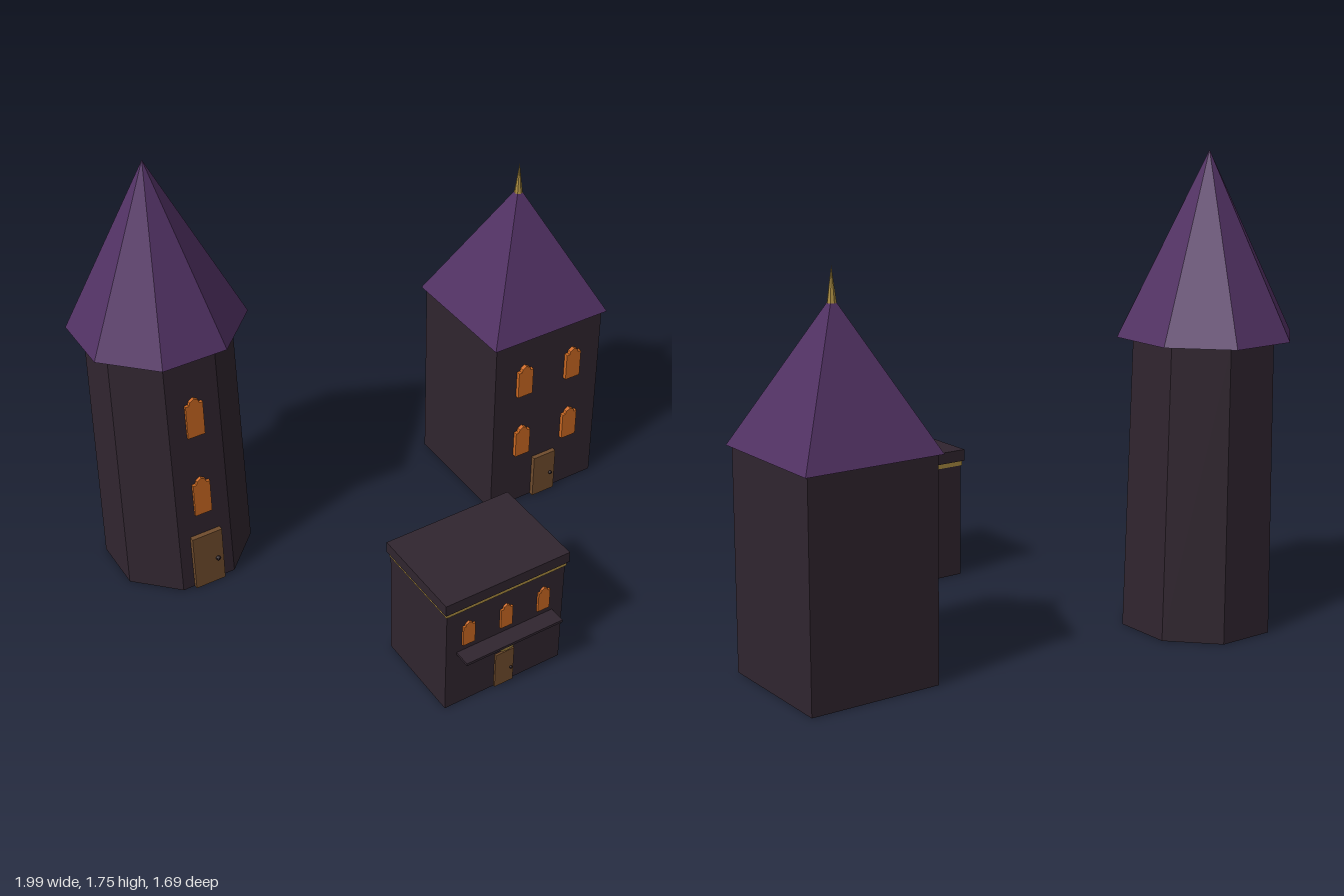
import * as THREE from 'three';

const mat = (name, color) => {
  const m = new THREE.MeshStandardMaterial({ color, flatShading: true });
  m.name = name;
  return m;
};

export function createModel() {
  const stone = mat('dark stone', 0x30252f);
  const purple = mat('purple roof', 0x513163);
  const glow = mat('orange window', 0xca6822);
  const wood = mat('brown wood', 0x704c2d);
  const gold = mat('gold', 0xa88a40);
  const iron = mat('dark iron', 0x2a2024);

  const model = new THREE.Group();
  model.name = 'village';

  const group = (name, x, z) => {
    const g = new THREE.Group();
    g.name = name;
    g.position.set(x, 0, z);
    model.add(g);
    return g;
  };
  const add = (parent, name, geo, material, x = 0, y = 0, z = 0) => {
    const m = new THREE.Mesh(geo, material);
    m.name = name;
    m.position.set(x, y, z);
    parent.add(m);
    return m;
  };
  // box standing on y
  const box = (parent, name, material, w, h, d, x, y, z) =>
    add(parent, name, new THREE.BoxGeometry(w, h, d), material, x, y + h / 2, z);
  // prism, frustum or pyramid with flat sides facing the axes, sized by apothem
  const prism = (parent, name, material, sides, top, bottom, h, y) => {
    const k = 1 / Math.cos(Math.PI / sides);
    const geo = new THREE.CylinderGeometry(top * k, bottom * k, h, sides);
    geo.rotateY(Math.PI / sides);
    return add(parent, name, geo, material, 0, y + h / 2, 0);
  };
  // window with a small pointed head, back face on z
  const windowPane = (parent, w, h, peak, x, y, z) => {
    const a = w / 2;
    const s = new THREE.Shape([
      [-a, 0], [a, 0], [a, h], [a * 0.6, h], [a * 0.5, h + peak * 0.55], [0, h + peak],
      [-a * 0.5, h + peak * 0.55], [-a * 0.6, h], [-a, h],
    ].map(([px, py]) => new THREE.Vector2(px, py)));
    const geo = new THREE.ExtrudeGeometry(s, { depth: 0.016, bevelEnabled: false });
    return add(parent, 'window', geo, glow, x, y, z);
  };
  const door = (parent, w, h, z, knobX, knobY, r) => {
    box(parent, 'door', wood, w, h, 0.02, 0, 0, z);
    add(parent, 'doorKnob', new THREE.SphereGeometry(r, 8, 6), iron, knobX, knobY, z + 0.014);
  };

  // Octagonal tower
  const tower = group('tower', -0.692, -0.54);
  prism(tower, 'towerWall', stone, 8, 0.25, 0.268, 1.09, 0);
  prism(tower, 'towerRoof', purple, 8, 0, 0.307, 0.665, 1.09);
  door(tower, 0.125, 0.25, 0.275, 0.037, 0.115, 0.01);
  for (const y of [0.35, 0.72]) {
    const wall = 0.268 - 0.018 * (y / 1.09);
    windowPane(tower, 0.07, 0.147, 0.026, 0, y, wall - 0.006);
  }

  // Square house with pyramid roof and spire
  const house = group('house', 0.73, -0.287);
  box(house, 'houseWall', stone, 0.5, 0.81, 0.5, 0, 0, 0);
  prism(house, 'houseRoof', purple, 4, 0, 0.265, 0.52, 0.81);
  add(house, 'spire', new THREE.ConeGeometry(0.017, 0.125, 8), gold, 0, 1.368, 0);
  door(house, 0.105, 0.195, 0.258, 0.03, 0.09, 0.008);
  for (const y of [0.245, 0.545])
    for (const x of [-0.115, 0.115]) windowPane(house, 0.068, 0.118, 0.024, x, y, 0.25);

  // Flat-roofed shop
  const shop = group('shop', -0.024, 0.594);
  box(shop, 'shopWall', stone, 0.505, 0.455, 0.37, 0, 0, 0);
  box(shop, 'goldBand', gold, 0.512, 0.02, 0.378, 0, 0.455, 0);
  box(shop, 'cornice', stone, 0.527, 0.046, 0.39, 0, 0.474, 0);
  box(shop, 'awning', stone, 0.415, 0.011, 0.07, 0, 0.25, 0.216);
  door(shop, 0.08, 0.16, 0.183, 0.027, 0.07, 0.006);
  for (const x of [-0.161, 0, 0.162]) windowPane(shop, 0.05, 0.088, 0.018, x, 0.29, 0.178);
  // small gilded ornament over the door
  const ornament = add(shop, 'doorOrnament', new THREE.SphereGeometry(1, 8, 4), gold, 0, 0.198, 0.2);
  ornament.scale.set(0.04, 0.021, 0.013);

  return model;
}
